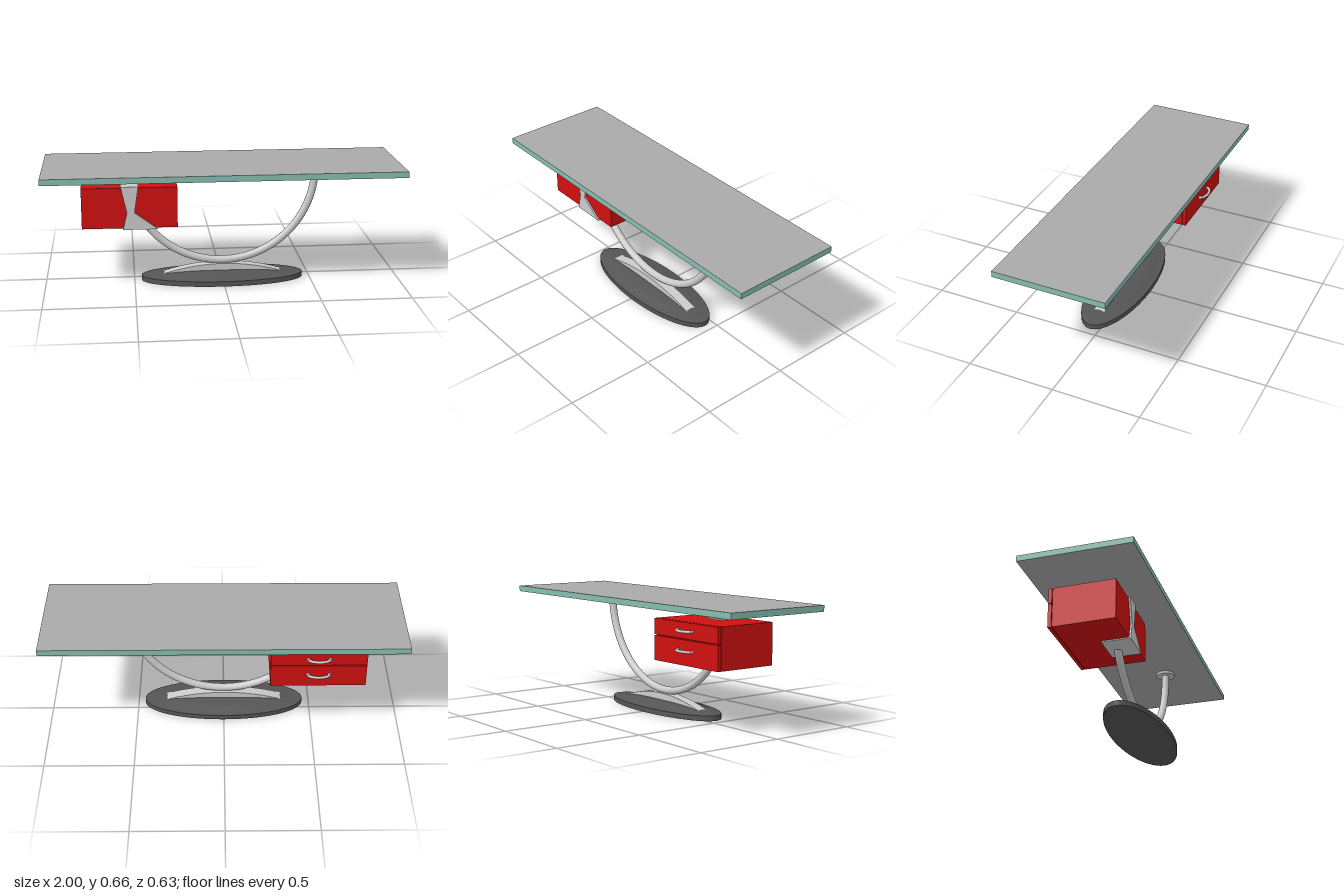
import * as THREE from 'three';
import { toCreasedNormals } from 'three/addons/utils/BufferGeometryUtils.js';

const paint = (color) => new THREE.MeshStandardMaterial({ color });
const grey = paint(0xcccccc);
const dark = paint(0x555555);
const red = paint(0xd01010);
const glassEdge = paint(0x86bdb0);
const slab = paint(0xaaaaaa);

const LEG_X = 0.525; // leg arc radius
const LEG_Z = 0.054; // plane of the leg and base

export function createModel() {
  const model = new THREE.Group();

  const add = (name, geometry, material, x = 0, y = 0, z = 0, parent = model) => {
    const mesh = new THREE.Mesh(geometry, material);
    mesh.name = name;
    mesh.position.set(x, y, z);
    parent.add(mesh);
    return mesh;
  };

  // Box given by its minimum and maximum corners
  const addBox = (name, material, [x0, y0, z0], [x1, y1, z1], parent = model) =>
    add(name, new THREE.BoxGeometry(x1 - x0, y1 - y0, z1 - z0), material,
      (x0 + x1) / 2, (y0 + y1) / 2, (z0 + z1) / 2, parent);

  const extrude = (points, depth) => new THREE.ExtrudeGeometry(
    new THREE.Shape(points.map(([x, y]) => new THREE.Vector2(x, y))),
    { depth, bevelEnabled: false });

  // Table top: grey faces with tinted edges
  addBox('tableTop', [glassEdge, glassEdge, slab, slab, glassEdge, glassEdge],
    [-1, 0.628, -0.316], [1, 0.662, 0.316]);

  // Oval domed base
  const profile = [[0, 0], [1, 0], [1, 0.029], [0.88, 0.031], [0.74, 0.041],
    [0.6, 0.047], [0.45, 0.051], [0.3, 0.053], [0, 0.053]];
  const base = new THREE.LatheGeometry(profile.map(([r, y]) => new THREE.Vector2(r, y)), 64);
  base.scale(0.46, 1, 0.165);
  add('base', toCreasedNormals(base, 0.6), dark, 0, 0, LEG_Z);

  // Arched foot that carries the leg
  const arch = [[0.34, 0.032], [-0.34, 0.032]];
  for (let i = 0; i <= 20; i++) {
    const t = i / 10 - 1;
    arch.push([0.34 * t, 0.092 - 0.053 * t * t]);
  }
  const foot = toCreasedNormals(extrude(arch.reverse(), 0.06), 0.5);
  add('foot', foot, grey, 0, 0, LEG_Z - 0.03);

  // Half-circle tubular leg
  const legPoints = [];
  for (let i = 0; i <= 32; i++) {
    const a = Math.PI * (1 + i / 32);
    legPoints.push(new THREE.Vector3(LEG_X * Math.cos(a), 0.633 + LEG_X * Math.sin(a), 0));
  }
  legPoints[0].y = legPoints[32].y = 0.626;
  add('leg', new THREE.TubeGeometry(new THREE.CatmullRomCurve3(legPoints), 96, 0.0215, 20),
    grey, 0, 0, LEG_Z);

  // Round mounting plates under the top
  for (const side of [-1, 1]) {
    add('mountingPlate', new THREE.CylinderGeometry(0.055, 0.055, 0.015, 40),
      grey, side * LEG_X, 0.6205, LEG_Z);
  }

  // Drawer unit, opening towards the back
  const drawers = new THREE.Group();
  drawers.name = 'drawerUnit';
  model.add(drawers);
  const [left, right] = [-0.787, -0.257];
  const middle = (left + right) / 2;
  addBox('drawerCase', red, [left, 0.337, -0.193], [right, 0.566, 0.155], drawers);

  // Bowed handle: two short posts and a curved bar
  const bow = [];
  for (let i = 0; i <= 16; i++) {
    const a = Math.PI * i / 16;
    bow.push(new THREE.Vector3(0.06 * Math.cos(a), 0, -0.03 * Math.sin(a)));
  }
  const bowGeometry = new THREE.TubeGeometry(new THREE.CatmullRomCurve3(bow), 40, 0.008, 10);
  const postGeometry = new THREE.CylinderGeometry(0.009, 0.009, 0.015, 16).rotateX(Math.PI / 2);

  for (const [y0, y1, grip] of [[0.337, 0.473, 0.415], [0.478, 0.566, 0.521]]) {
    addBox('drawerFront', red, [left, y0, -0.217], [right, y1, -0.197], drawers);
    addBox('drawerBody', red, [left + 0.01, y0 + 0.008, -0.198],
      [right - 0.01, y1 - 0.008, -0.19], drawers);
    add('handleBar', bowGeometry, grey, middle, grip, -0.218, drawers);
    for (const side of [-1, 1]) {
      add('handlePost', postGeometry, grey, middle + side * 0.06, grip, -0.2245, drawers);
    }
  }

  // Waisted bracket that clasps the drawer unit to the leg
  const bracket = [[-0.56, 0.33], [-0.366, 0.33], [-0.495, 0.425],
    [-0.473, 0.573], [-0.57, 0.573], [-0.537, 0.425]];
  add('bracketFront', extrude(bracket, 0.01), grey, 0, 0, 0.155);
  addBox('bracketTop', grey, [-0.57, 0.565, -0.015], [-0.473, 0.573, 0.156]);
  addBox('bracketBottom', grey, [-0.56, 0.33, 0], [-0.366, 0.338, 0.156]);

  return model;
}
